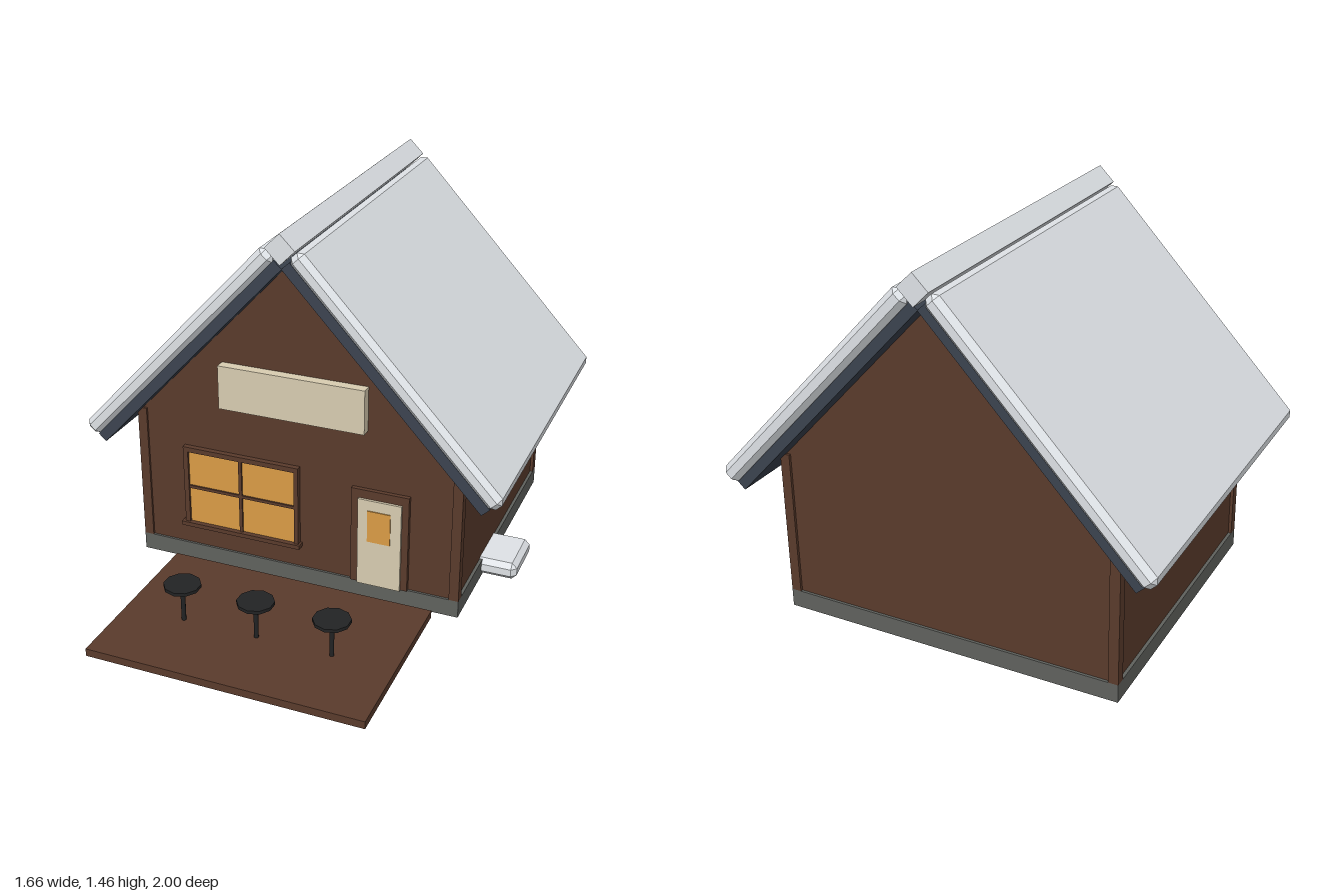
import * as THREE from 'three';
import { ConvexGeometry } from 'three/addons/geometries/ConvexGeometry.js';

function mat(name, color) {
  const m = new THREE.MeshStandardMaterial({ color });
  m.name = name;
  return m;
}

// Box with flat chamfers on every edge, centred on the origin
function chamferBox(w, h, d, c) {
  const pts = [];
  for (const x of [-1, 1]) for (const y of [-1, 1]) for (const z of [-1, 1]) {
    const half = [w / 2, h / 2, d / 2], s = [x, y, z];
    for (let k = 0; k < 3; k++) {
      const p = half.map((v, i) => s[i] * (i === k ? v : v - c));
      pts.push(new THREE.Vector3(...p));
    }
  }
  return new ConvexGeometry(pts);
}

export function createModel() {
  const wood = mat('brown wood', 0x5a3b2c);
  const stone = mat('grey stone', 0x60625e);
  const slate = mat('dark slate', 0x3c4450);
  const snow = mat('snow', 0xe4e8ec);
  const cream = mat('cream paint', 0xd9cdb1);
  const amber = mat('amber glass', 0xdb9c46);
  const iron = mat('black iron', 0x222324);

  const model = new THREE.Group();
  model.name = 'snowyCabin';

  function add(name, geometry, material, parent = model) {
    const m = new THREE.Mesh(geometry, material);
    m.name = name;
    parent.add(m);
    return m;
  }
  // Box given by its minimum and maximum corners
  function box(name, material, x0, x1, y0, y1, z0, z1, parent = model) {
    const m = add(name, new THREE.BoxGeometry(x1 - x0, y1 - y0, z1 - z0), material, parent);
    m.position.set((x0 + x1) / 2, (y0 + y1) / 2, (z0 + z1) / 2);
    return m;
  }

  // Foundation and gabled walls
  box('foundation', stone, -0.662, 0.662, 0, 0.07, -0.88, 0.264);
  const gable = new THREE.Shape([[-0.65, 0.07], [0.65, 0.07], [0.65, 0.638], [0, 1.332], [-0.65, 0.638]]
    .map(([x, y]) => new THREE.Vector2(x, y)));
  const walls = add('walls', new THREE.ExtrudeGeometry(gable, { depth: 1.125, bevelEnabled: false }), wood);
  walls.position.z = -0.87;

  // Corner posts
  for (const s of [-1, 1]) for (const z of [-0.861, 0.245]) {
    box('cornerPost', wood, s * 0.643 - 0.019, s * 0.643 + 0.019, 0.07, 0.635, z - 0.019, z + 0.019);
  }

  // Roof halves: u runs down the slope, n is the distance outward
  const pitch = THREE.MathUtils.degToRad(47);
  for (const s of [1, -1]) {
    const half = new THREE.Group();
    half.name = s > 0 ? 'leftRoof' : 'rightRoof';
    half.rotation.z = -s * pitch;
    model.add(half);
    const slab = add('roofSlab', new THREE.BoxGeometry(1.11, 0.042, 1.335), slate, half);
    slab.position.set(s * -0.414, 0.923, -0.3075);
    const cover = add('roofSnow', chamferBox(1.13, 0.07, 1.375, 0.02), snow, half);
    cover.position.set(s * -0.413, 0.975, -0.3125);
  }
  const ridge = add('ridgeCap', new THREE.BoxGeometry(0.082, 0.082, 1.375), snow);
  ridge.rotation.z = Math.PI / 4;
  ridge.position.set(0, 1.4, -0.3125);

  // Sign board over the entrance
  box('signBoard', cream, -0.294, 0.29, 0.708, 0.884, 0.25, 0.295);

  // Window with frame, cross bars and sill
  const win = new THREE.Group();
  win.name = 'window';
  model.add(win);
  box('windowPane', amber, -0.445, 0.002, 0.175, 0.486, 0.258, 0.267, win);
  box('frameTop', wood, -0.465, 0.019, 0.486, 0.506, 0.25, 0.277, win);
  box('frameSide', wood, -0.465, -0.445, 0.175, 0.486, 0.25, 0.277, win);
  box('frameSide', wood, 0.002, 0.019, 0.175, 0.486, 0.25, 0.277, win);
  box('mullion', wood, -0.23, -0.217, 0.175, 0.486, 0.25, 0.275, win);
  box('crossBar', wood, -0.445, 0.002, 0.327, 0.339, 0.25, 0.274, win);
  box('sill', wood, -0.478, 0.027, 0.16, 0.177, 0.25, 0.287, win);

  // Door with trim and small pane
  const door = new THREE.Group();
  door.name = 'door';
  model.add(door);
  box('doorTrim', wood, 0.233, 0.461, 0.07, 0.47, 0.25, 0.272, door);
  box('doorLeaf', cream, 0.263, 0.435, 0.07, 0.435, 0.26, 0.282, door);
  box('doorPane', amber, 0.303, 0.394, 0.261, 0.392, 0.28, 0.286, door);

  // Terrace with round tables
  box('deck', wood, -0.5, 0.57, 0, 0.03, 0.3, 1);
  for (const x of [-0.26, 0.035, 0.33]) {
    const table = new THREE.Group();
    table.name = 'table';
    table.position.set(x, 0, 0.7);
    model.add(table);
    const iron1 = add('tableTop', new THREE.CylinderGeometry(0.07, 0.07, 0.013, 10), iron, table);
    iron1.position.y = 0.179;
    const post = add('tablePost', new THREE.CylinderGeometry(0.009, 0.009, 0.145, 8), iron, table);
    post.position.y = 0.1025;
  }

  // Snow heap against the side wall
  const heap = add('snowHeap', chamferBox(0.24, 0.07, 0.235, 0.02), snow);
  heap.position.set(0.68, 0.041, -0.162);

  return model;
}
